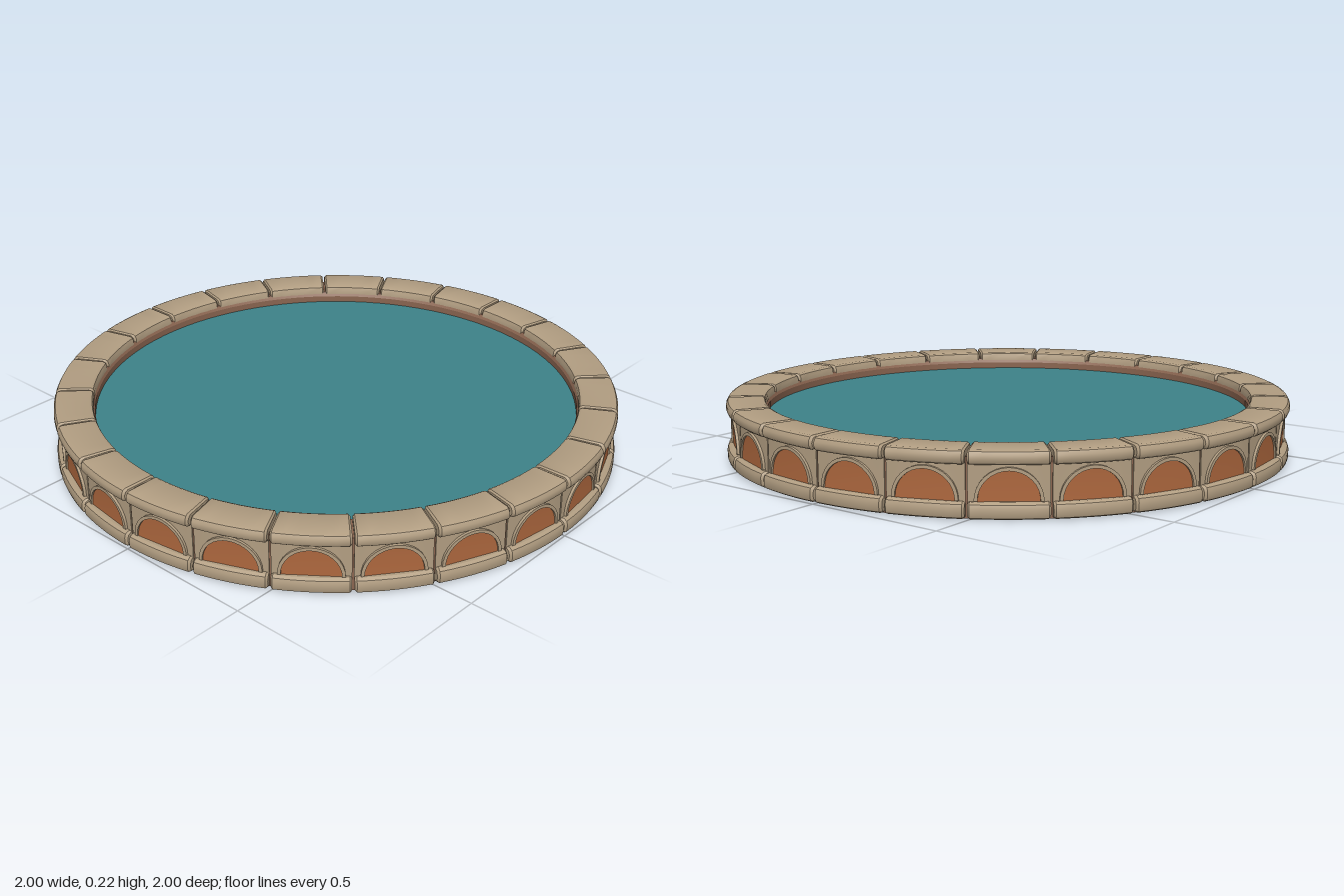
import * as THREE from 'three';
import { toCreasedNormals } from 'three/addons/utils/BufferGeometryUtils.js';

const COUNT = 24;
const STEP = (Math.PI * 2) / COUNT;
const WALL = 0.975;

const material = (name, color, side = THREE.FrontSide) => {
  const m = new THREE.MeshStandardMaterial({ color, side });
  m.name = name;
  return m;
};

// Curved block: a convex counter-clockwise (radius, height) profile swept over one step, ends bevelled
function sweepBlock(profile, gap = 0.004, bevel = 0.007, segments = 6) {
  const n = profile.length;
  const cr = profile.reduce((s, p) => s + p[0], 0) / n;
  const cy = profile.reduce((s, p) => s + p[1], 0) / n;
  const h = STEP / 2 - gap;
  const sections = [[-h, bevel]];
  for (let i = 0; i <= segments; i++) sections.push([(h - bevel) * (2 * i / segments - 1), 0]);
  sections.push([h, bevel]);

  const pos = [], idx = [];
  const add = (r, y, a) => pos.push(r * Math.sin(a), y, r * Math.cos(a));
  for (const [a, inset] of sections)
    for (const [r, y] of profile)
      add(r - Math.sign(r - cr) * inset, y - Math.sign(y - cy) * inset * 0.6, a);
  const last = (sections.length - 1) * n;
  const startCentre = sections.length * n;
  add(cr, cy, -h);
  add(cr, cy, h);
  for (let j = 0; j < n; j++) {
    const k = (j + 1) % n;
    for (let i = 0; i < sections.length - 1; i++) {
      const a = i * n + j, b = a + n, c = (i + 1) * n + k, d = i * n + k;
      idx.push(a, b, c, a, c, d);
    }
    idx.push(startCentre, j, k, startCentre + 1, last + k, last + j);
  }
  const g = new THREE.BufferGeometry();
  g.setAttribute('position', new THREE.Float32BufferAttribute(pos, 3));
  g.setIndex(idx);
  return toCreasedNormals(g, 0.5);
}

// Extrude a flat shape and wrap it round the basin wall
function wrapShape(points, inner, outer) {
  const shape = new THREE.Shape(points.map(([x, y]) => new THREE.Vector2(x, y)));
  const g = new THREE.ExtrudeGeometry(shape, { depth: outer - inner, bevelEnabled: false });
  const p = g.attributes.position;
  for (let i = 0; i < p.count; i++) {
    const a = p.getX(i) / WALL, r = inner + p.getZ(i);
    p.setXYZ(i, r * Math.sin(a), p.getY(i), r * Math.cos(a));
  }
  return toCreasedNormals(g, 0.5);
}

// Half circle from right to left standing on the base course
function arc(radius, base = 0.057, n = 16) {
  const pts = [];
  for (let i = 0; i <= n; i++) {
    const a = Math.PI * i / n;
    pts.push([radius * Math.cos(a), base + radius * Math.sin(a)]);
  }
  return pts;
}

export function createModel() {
  const model = new THREE.Group();
  model.name = 'roundPool';

  const stone = material('sandstone', 0xb29e82);
  const clay = material('terracotta', 0xb0693f);
  const mortar = material('brown mortar', 0x8a6550);
  const waterBlue = material('teal water', 0x3d8289, THREE.DoubleSide);

  const copingGeo = sweepBlock([
    [0.862, 0.176], [0.868, 0.17], [0.988, 0.17], [0.996, 0.176], [1.0, 0.186],
    [0.999, 0.2], [0.993, 0.211], [0.984, 0.215], [0.876, 0.215], [0.866, 0.21], [0.862, 0.2],
  ]);
  const baseGeo = sweepBlock([
    [0.862, 0.003], [0.988, 0.003], [0.997, 0.008], [1.0, 0.018], [1.0, 0.038],
    [0.996, 0.049], [0.986, 0.055], [0.862, 0.055],
  ]);

  // Wall panel with an arched opening
  const half = WALL * STEP / 2 - 0.003;
  const top = [];
  for (let i = 0; i <= 8; i++) top.push([-half + half * i / 4, 0.172]);
  const panelGeo = wrapShape(
    [[half, 0.05], ...top.slice().reverse(), [-half, 0.05], [-0.096, 0.05], ...arc(0.096).reverse(), [0.096, 0.05]],
    0.955, 0.976);
  const ringGeo = wrapShape([...arc(0.105), ...arc(0.094).reverse()], 0.965, 0.985);
  const nicheGeo = wrapShape([[0.095, 0.05], ...arc(0.095), [-0.095, 0.05]], 0.968, 0.979);

  const parts = [
    ['copingStone', copingGeo, stone],
    ['baseStone', baseGeo, stone],
    ['wallPanel', panelGeo, stone],
    ['archRing', ringGeo, stone],
    ['archTile', nicheGeo, clay],
  ];
  for (let i = 0; i < COUNT; i++) {
    const section = new THREE.Group();
    section.name = 'wallSection' + (i + 1);
    section.rotation.y = (i + 0.5) * STEP;
    for (const [name, geo, mat] of parts) {
      const mesh = new THREE.Mesh(geo, mat);
      mesh.name = name;
      section.add(mesh);
    }
    model.add(section);
  }

  // Solid ring behind the stones
  const outline = [[0.857, 0], [0.972, 0], [0.972, 0.19], [0.866, 0.19], [0.857, 0.175], [0.857, 0]];
  const coreGeo = new THREE.LatheGeometry(outline.map(([r, y]) => new THREE.Vector2(r, y)), 96);
  const core = new THREE.Mesh(toCreasedNormals(coreGeo, 0.5), mortar);
  core.name = 'mortarCore';
  model.add(core);

  // Water surface
  const water = new THREE.Mesh(new THREE.CircleGeometry(0.858, 96), waterBlue);
  water.name = 'water';
  water.rotation.x = -Math.PI / 2;
  water.position.y = 0.152;
  model.add(water);

  return model;
}
